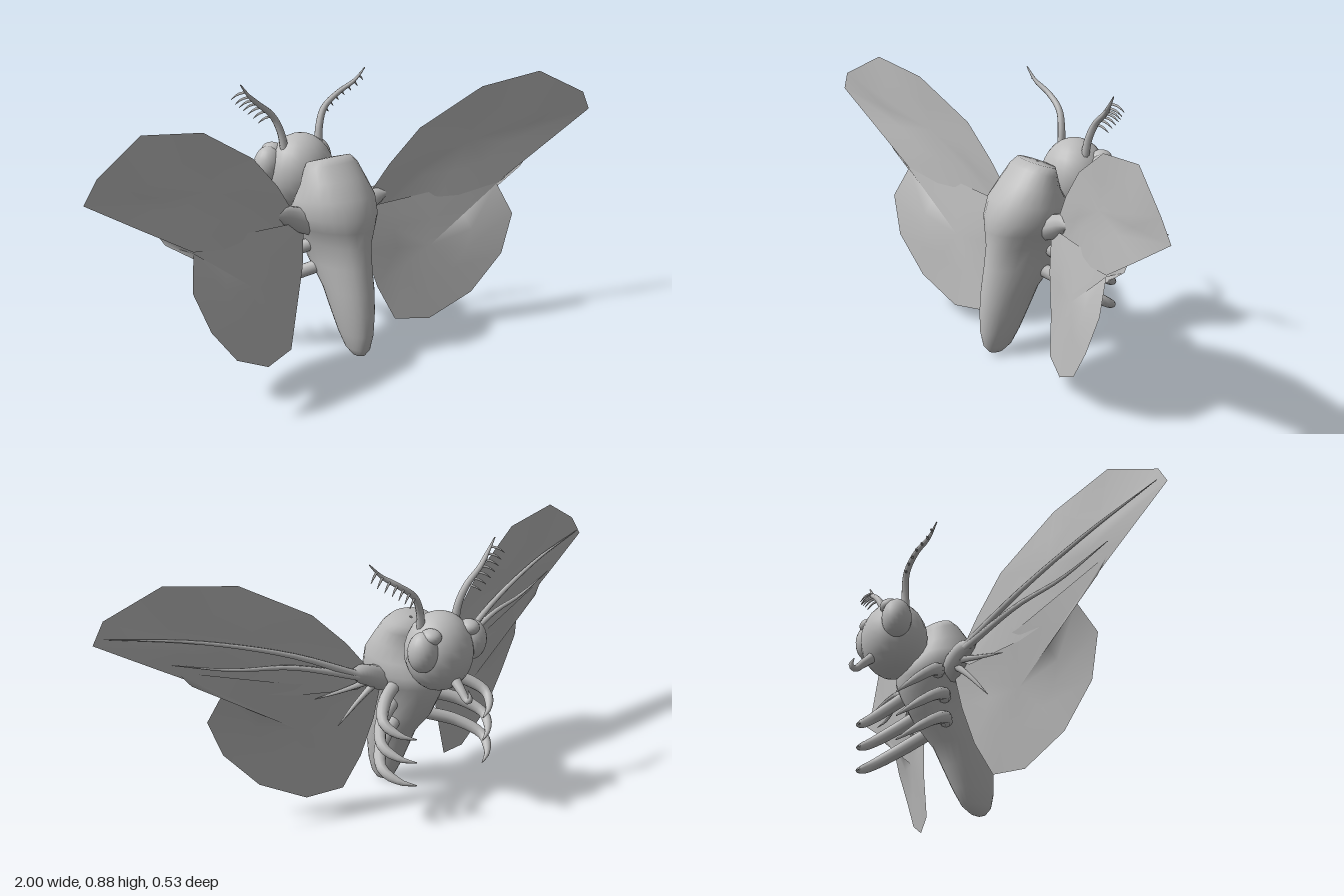
import * as THREE from 'three';

const shell = new THREE.MeshStandardMaterial({ color: 0xbcbcbc, side: THREE.DoubleSide });
shell.name = 'plain grey';

function add(parent, name, geometry) {
  const mesh = new THREE.Mesh(geometry, shell);
  mesh.name = name;
  parent.add(mesh);
  return mesh;
}

function indexed(positions, index) {
  const g = new THREE.BufferGeometry();
  g.setAttribute('position', new THREE.Float32BufferAttribute(positions, 3));
  g.setIndex(index);
  g.computeVertexNormals();
  return g;
}

// Tube along points whose radius follows a list of radii
function taper(points, radii, side = 1, segments = 16, sides = 10) {
  const curve = new THREE.CatmullRomCurve3(points.map(([x, y, z]) => new THREE.Vector3(x * side, y, z)));
  const g = new THREE.TubeGeometry(curve, segments, 1, sides);
  const p = g.attributes.position, v = new THREE.Vector3();
  for (let i = 0; i <= segments; i++) {
    const c = curve.getPointAt(i / segments);
    const f = (i / segments) * (radii.length - 1), k = Math.min(Math.floor(f), radii.length - 2);
    const r = THREE.MathUtils.lerp(radii[k], radii[k + 1], f - k);
    for (let j = 0; j <= sides; j++) {
      const n = i * (sides + 1) + j;
      v.fromBufferAttribute(p, n).sub(c).multiplyScalar(r).add(c);
      p.setXYZ(n, v.x, v.y, v.z);
    }
  }
  return g;
}

// Wing membrane: outline joined to a hub through one middle ring
function membrane(outline, hub, side) {
  const n = outline.length, pos = [], index = [];
  for (const t of [1, 0.5]) {
    for (const o of outline) {
      const q = o.map((c, k) => THREE.MathUtils.lerp(hub[k], c, t));
      pos.push(q[0] * side, q[1], q[2]);
    }
  }
  pos.push(hub[0] * side, hub[1], hub[2]);
  for (let i = 0; i < n; i++) {
    const j = (i + 1) % n;
    index.push(i, j, n + j, i, n + j, n + i, n + i, n + j, 2 * n);
  }
  return indexed(pos, index);
}

// Body lofted from rings: [y, zFront, zBack, halfWidth, tilt]
function bodyGeometry() {
  const rings = [
    [0, 0.198, 0.202, 0.002, 0], [0.008, 0.17, 0.222, 0.018, 0], [0.03, 0.14, 0.24, 0.032, 0],
    [0.08, 0.11, 0.25, 0.047, 0], [0.15, 0.075, 0.25, 0.06, 0], [0.22, 0.04, 0.243, 0.07, 0],
    [0.3, -0.035, 0.23, 0.08, 0], [0.37, -0.075, 0.22, 0.09, 0], [0.42, -0.09, 0.22, 0.118, 0],
    [0.46, -0.088, 0.22, 0.132, 0], [0.51, -0.06, 0.2, 0.13, 0.1], [0.56, -0.03, 0.155, 0.112, 0.2],
    [0.605, -0.018, 0.115, 0.098, 0.3], [0.628, -0.014, 0.09, 0.08, 0.33], [0.63, 0.03, 0.04, 0.004, 0.33],
  ];
  const sides = 24, pos = [], index = [];
  rings.forEach(([y, z0, z1, w, tilt], i) => {
    for (let j = 0; j < sides; j++) {
      const a = (j / sides) * Math.PI * 2, dz = Math.cos(a) * (z1 - z0) / 2;
      pos.push(w * Math.sin(a), y + tilt * dz, (z0 + z1) / 2 + dz);
      if (i === 0) continue;
      const k = (j + 1) % sides, lo = (i - 1) * sides, hi = i * sides;
      index.push(lo + j, lo + k, hi + k, lo + j, hi + k, hi + j);
    }
  });
  return indexed(pos, index);
}

function ellipsoid(parent, name, center, radii) {
  const m = add(parent, name, new THREE.SphereGeometry(1, 20, 14));
  m.position.set(...center);
  m.scale.set(...radii);
}

const forewing = [
  [0.14, 0.46, 0.05], [0.23, 0.58, 0.075], [0.34, 0.69, 0.1], [0.56, 0.812, 0.165], [0.79, 0.845, 0.21],
  [0.96, 0.76, 0.262], [1, 0.695, 0.258], [0.82, 0.59, 0.225], [0.62, 0.475, 0.19], [0.4, 0.43, 0.125],
  [0.2, 0.42, 0.06],
];
const hindwing = [
  [0.11, 0.44, 0.05], [0.4, 0.47, 0.12], [0.76, 0.57, 0.212], [0.72, 0.518, 0.2], [0.62, 0.472, 0.19],
  [0.655, 0.37, 0.235], [0.6, 0.24, 0.243], [0.49, 0.115, 0.212], [0.34, 0.04, 0.165], [0.22, 0.055, 0.125],
  [0.17, 0.17, 0.09], [0.13, 0.3, 0.07],
];

export function createModel() {
  const model = new THREE.Group();
  model.name = 'moth';

  add(model, 'body', bodyGeometry());
  ellipsoid(model, 'head', [0, 0.555, -0.107], [0.115, 0.13, 0.108]);
  add(model, 'proboscis', taper(
    [[0, 0.49, -0.17], [0, 0.45, -0.215], [0, 0.425, -0.245], [0, 0.435, -0.258], [0, 0.462, -0.247]],
    [0.02, 0.016, 0.013, 0.01, 0.001]));

  for (const side of [1, -1]) {
    const half = new THREE.Group();
    half.name = side > 0 ? 'leftSide' : 'rightSide';
    model.add(half);

    // Eyes with a brow lump above
    ellipsoid(half, 'eye', [0.1 * side, 0.582, -0.147], [0.05, 0.066, 0.048]);
    ellipsoid(half, 'brow', [0.078 * side, 0.63, -0.158], [0.034, 0.026, 0.036]);

    // Wings and their root
    add(half, 'forewing', membrane(forewing, [0.52, 0.63, 0.15], side));
    add(half, 'hindwing', membrane(hindwing, [0.36, 0.29, 0.14], side));
    add(half, 'wingRoot', taper(
      [[0.08, 0.43, 0.06], [0.14, 0.455, 0.05], [0.19, 0.475, 0.05], [0.24, 0.482, 0.062]],
      [0.04, 0.042, 0.036, 0.03, 0.004], side));

    // Veins on the underside of the wings
    const veins = [
      [[0.2, 0.475, 0.04], [0.42, 0.575, 0.105], [0.7, 0.66, 0.18], [0.97, 0.712, 0.245]],
      [[0.2, 0.47, 0.04], [0.42, 0.535, 0.105], [0.6, 0.555, 0.155], [0.78, 0.6, 0.2]],
      [[0.16, 0.45, 0.04], [0.24, 0.43, 0.065], [0.34, 0.41, 0.1]],
      [[0.14, 0.44, 0.04], [0.2, 0.38, 0.06], [0.26, 0.3, 0.09]],
    ];
    veins.forEach((v) => add(half, 'wingVein', taper(v, [0.014, 0.009, 0.006, 0.001], side, 14, 6)));

    // Three hooked legs
    for (const [y, z] of [[0.44, 0.02], [0.36, 0.045], [0.28, 0.05]]) {
      const drop = [0, 0.3, 0.62, 0.88, 1], spread = [0.06, 0.165, 0.215, 0.185, 0.14];
      const points = drop.map((t, i) => [spread[i], y - 0.135 * t, THREE.MathUtils.lerp(z, -0.165, t)]);
      add(half, 'leg', taper(points, [0.022, 0.022, 0.02, 0.015, 0.002], side));
    }

    // Feathered antenna
    const stem = [[0.07, 0.64, -0.1], [0.08, 0.7, -0.107], [0.107, 0.755, -0.115],
      [0.165, 0.8, -0.11], [0.215, 0.835, -0.09], [0.253, 0.876, -0.081]];
    add(half, 'antenna', taper(stem, [0.014, 0.012, 0.01, 0.008, 0.002], side, 20, 8));
    const curve = new THREE.CatmullRomCurve3(stem.map((p) => new THREE.Vector3(...p)));
    for (let i = 0; i < 7; i++) {
      const { x, y, z } = curve.getPointAt(0.38 + i * 0.085);
      add(half, 'antennaBarb', taper(
        [[x, y, z], [x + 0.02, y - 0.006, z - 0.014], [x + 0.04, y - 0.022, z - 0.024]],
        [0.004, 0.004, 0.001], side, 5, 5));
    }
  }
  return model;
}
